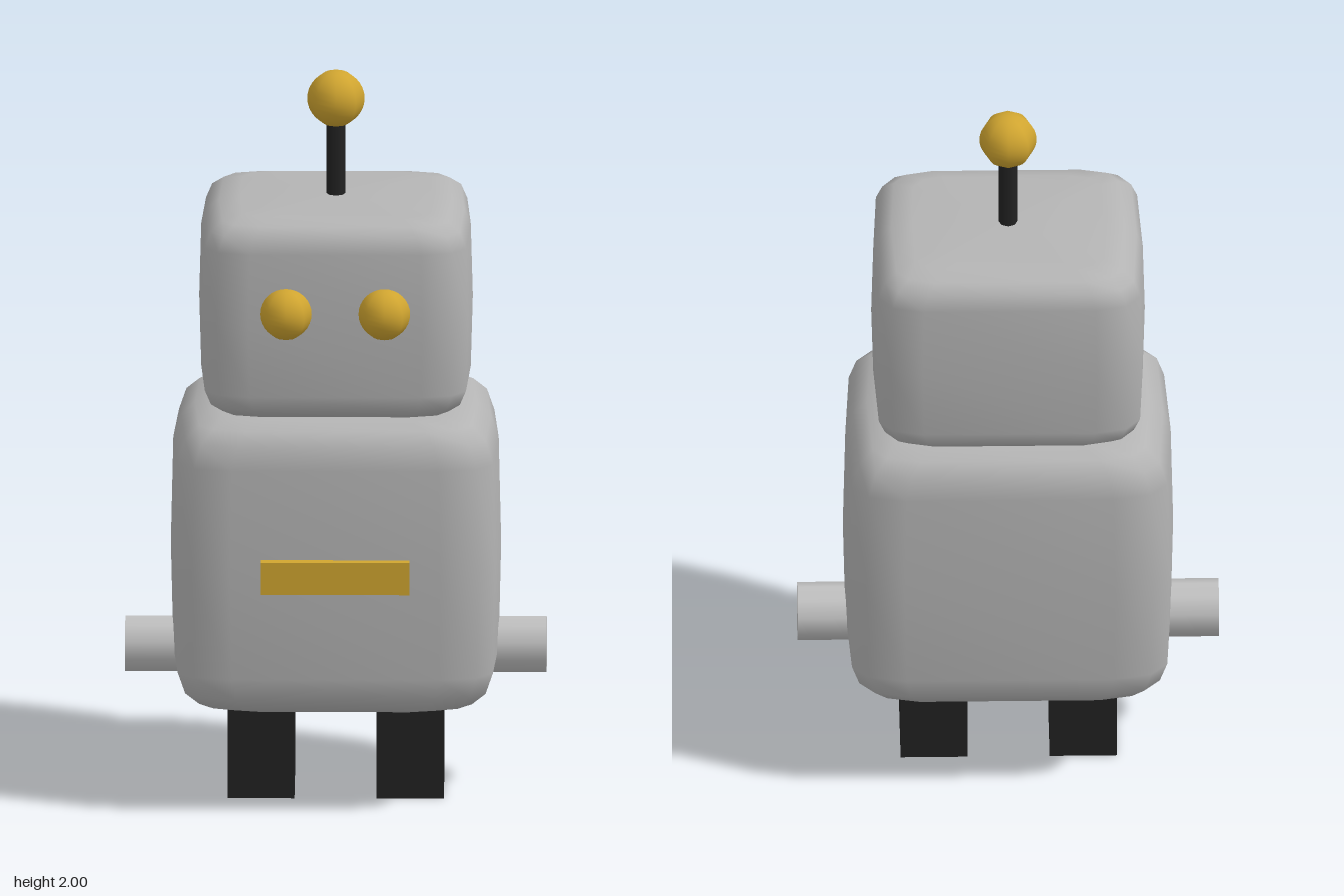
import * as THREE from 'three';
import { mergeVertices } from 'three/addons/utils/BufferGeometryUtils.js';

const material = (name, color) => {
  const m = new THREE.MeshStandardMaterial({ color });
  m.name = name;
  return m;
};

// Rounded block: a sphere squared off by raising its coordinates to a small power
function squaredSphere(halfX, halfY, halfZ, power = 0.3) {
  const geometry = new THREE.SphereGeometry(1, 14, 10);
  geometry.deleteAttribute('uv');
  geometry.deleteAttribute('normal');
  const p = geometry.attributes.position;
  const bend = (v) => (Math.abs(v) < 1e-5 ? 0 : Math.sign(v) * Math.abs(v) ** power);
  for (let i = 0; i < p.count; i++) {
    const x = p.getX(i), y = p.getY(i), z = p.getZ(i);
    const r = Math.hypot(x, z);
    const ring = bend(r);
    const cos = r < 1e-5 ? 0 : x / r, sin = r < 1e-5 ? 0 : z / r;
    p.setXYZ(i, halfX * ring * bend(cos), halfY * bend(y), halfZ * ring * bend(sin));
  }
  const merged = mergeVertices(geometry);
  merged.computeVertexNormals();
  return merged;
}

export function createModel() {
  const grey = material('grey shell', 0xb4b4b4);
  const lightGrey = material('light grey arms', 0xc0c0c0);
  const black = material('black', 0x222222);
  const gold = material('gold', 0xd0a530);

  const model = new THREE.Group();
  model.name = 'robot';
  const midZ = -0.022;

  const add = (name, geometry, mat, x, y, z) => {
    const mesh = new THREE.Mesh(geometry, mat);
    mesh.name = name;
    mesh.position.set(x, y, z);
    model.add(mesh);
    return mesh;
  };

  // Body and head
  add('body', squaredSphere(0.443, 0.415, 0.34), grey, 0, 0.685, midZ);
  add('head', squaredSphere(0.367, 0.283, 0.315), grey, 0, 1.375, midZ);

  // Antenna
  add('antennaRod', new THREE.CylinderGeometry(0.025, 0.025, 0.28, 8), black, 0, 1.77, midZ);
  add('antennaBall', new THREE.SphereGeometry(0.077, 8, 16), gold, 0, 1.923, midZ);

  // Mouth plate
  add('mouth', new THREE.BoxGeometry(0.4, 0.09, 0.05), gold, 0, 0.685, 0.315);

  // Paired parts
  for (const [side, s] of [['left', 1], ['right', -1]]) {
    add(side + 'Eye', new THREE.SphereGeometry(0.07, 8, 16), gold, s * 0.132, 1.41, 0.288);
    add(side + 'Leg', new THREE.BoxGeometry(0.18, 0.268, 0.235), black, s * 0.2, 0.134, midZ);
    const arm = add(side + 'Arm',
      new THREE.CylinderGeometry(0.078, 0.078, 0.3, 10, 1, false, Math.PI / 2),
      lightGrey, s * 0.415, 0.398, midZ);
    arm.rotation.z = Math.PI / 2;
  }

  return model;
}
